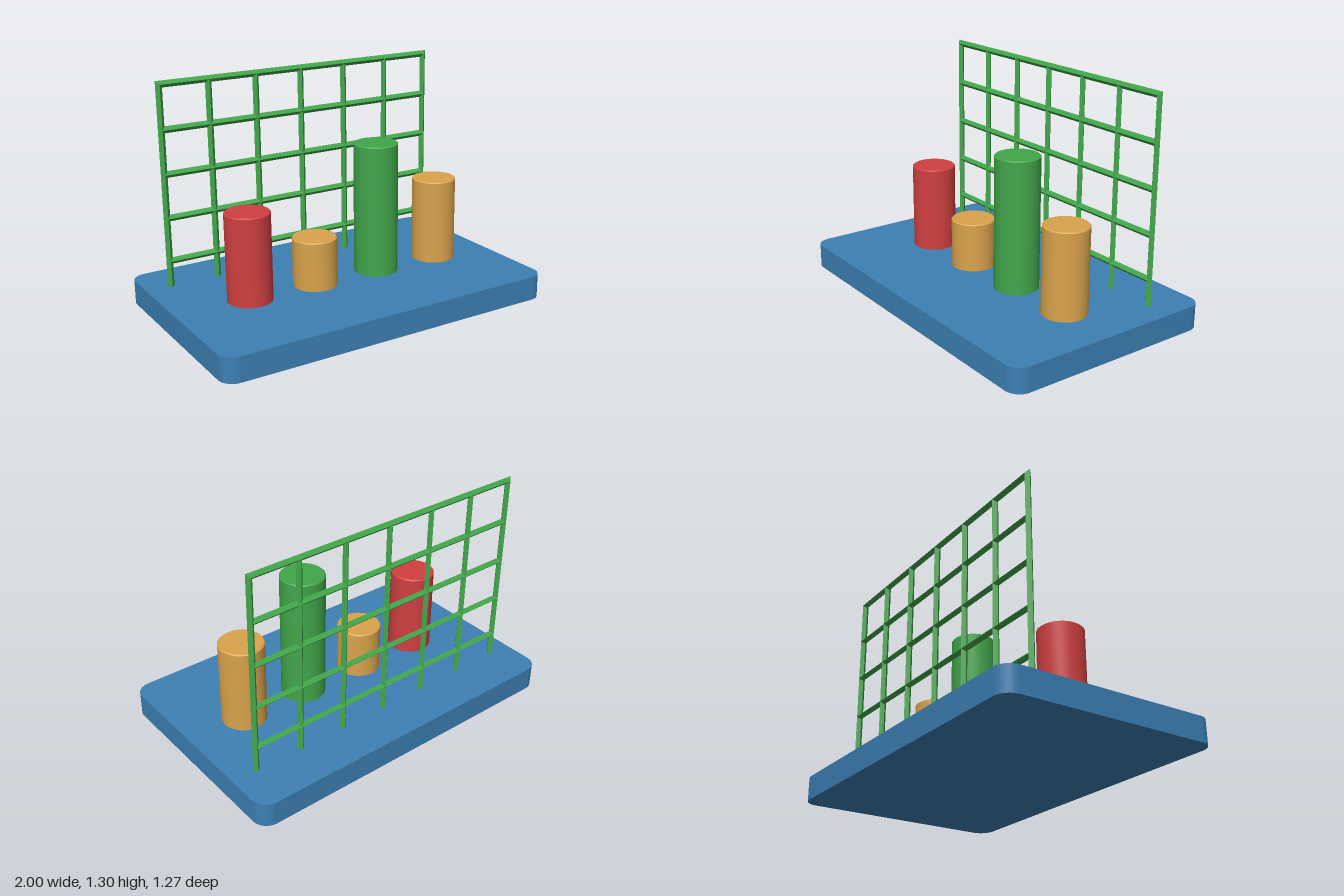
import * as THREE from 'three';
import { toCreasedNormals } from 'three/addons/utils/BufferGeometryUtils.js';

const BLUE = 0x3d80b4, GREEN = 0x41a64a, RED = 0xd04040, ORANGE = 0xd9a34c;
const BASE_H = 0.137, W = 1.98, D = 1.24;

function add(parent, name, geometry, color, flatShading = false) {
  const material = new THREE.MeshStandardMaterial({ color, flatShading });
  const mesh = new THREE.Mesh(geometry, material);
  mesh.name = name;
  parent.add(mesh);
  return mesh;
}

// Slab with rounded vertical corners
function baseGeometry() {
  const x = W / 2, z = D / 2, r = 0.085;
  const s = new THREE.Shape();
  s.absarc(x - r, z - r, r, 0, Math.PI / 2);
  s.absarc(-x + r, z - r, r, Math.PI / 2, Math.PI);
  s.absarc(-x + r, -z + r, r, Math.PI, Math.PI * 1.5);
  s.absarc(x - r, -z + r, r, Math.PI * 1.5, Math.PI * 2);
  const g = new THREE.ExtrudeGeometry(s, { depth: BASE_H, bevelEnabled: false, curveSegments: 8 });
  g.rotateX(-Math.PI / 2);
  return toCreasedNormals(g, 0.6);
}

// Upright cylinder with a tiny chamfer round the top
function pegGeometry(top) {
  const r = 0.124, c = 0.006;
  const profile = [[r, BASE_H - 0.01], [r, top - c], [r - c, top], [0, top]];
  const g = new THREE.LatheGeometry(profile.map(([x, y]) => new THREE.Vector2(x, y)), 48);
  return toCreasedNormals(g, 0.6);
}

// Diamond-section bar along y, from y = a to y = b
function barGeometry(a, b, r) {
  return new THREE.CylinderGeometry(r, r, b - a, 4).translate(0, (a + b) / 2, 0);
}

export function createModel() {
  const model = new THREE.Group();
  model.name = 'planterBoard';

  // The whole board sits at a very slight tilt
  const board = new THREE.Group();
  board.name = 'board';
  board.rotation.set(-0.0105, -0.0185, 0.0075);
  board.position.y = 0.0137;
  model.add(board);

  add(board, 'base', baseGeometry(), BLUE);

  // Row of pegs
  [[RED, 0.629], [ORANGE, 0.415], [GREEN, 0.884], [ORANGE, 0.62]].forEach(([color, top], i) => {
    add(board, `peg${i + 1}`, pegGeometry(top), color).position.set(-0.56 + 0.401 * i, 0, 0.037);
  });

  // Lattice screen behind the pegs
  const lattice = new THREE.Group();
  lattice.name = 'lattice';
  lattice.position.z = -0.364;
  board.add(lattice);
  const half = 0.845, topY = 1.265, r = 0.019;

  for (let i = 0; i < 7; i++) {
    const side = i === 0 ? -1 : i === 6 ? 1 : 0;
    const g = barGeometry(BASE_H - 0.01, topY, r);
    // Mitre the tops of the outer posts
    const p = g.attributes.position;
    for (let k = 0; k < p.count; k++) {
      if (p.getY(k) > 1) p.setY(k, topY + side * p.getX(k));
    }
    add(lattice, `post${i + 1}`, g, GREEN, true).position.x = half * (i / 3 - 1);
  }

  for (let i = 0; i < 5; i++) {
    const g = barGeometry(-half, half, r).rotateZ(Math.PI / 2);
    // Mitre both ends of the top rail
    if (i === 4) {
      const p = g.attributes.position;
      for (let k = 0; k < p.count; k++) p.setX(k, Math.sign(p.getX(k)) * (half + p.getY(k)));
    }
    add(lattice, `rail${i + 1}`, g, GREEN, true).position.y = topY - 0.245 * (4 - i);
  }

  return model;
}
